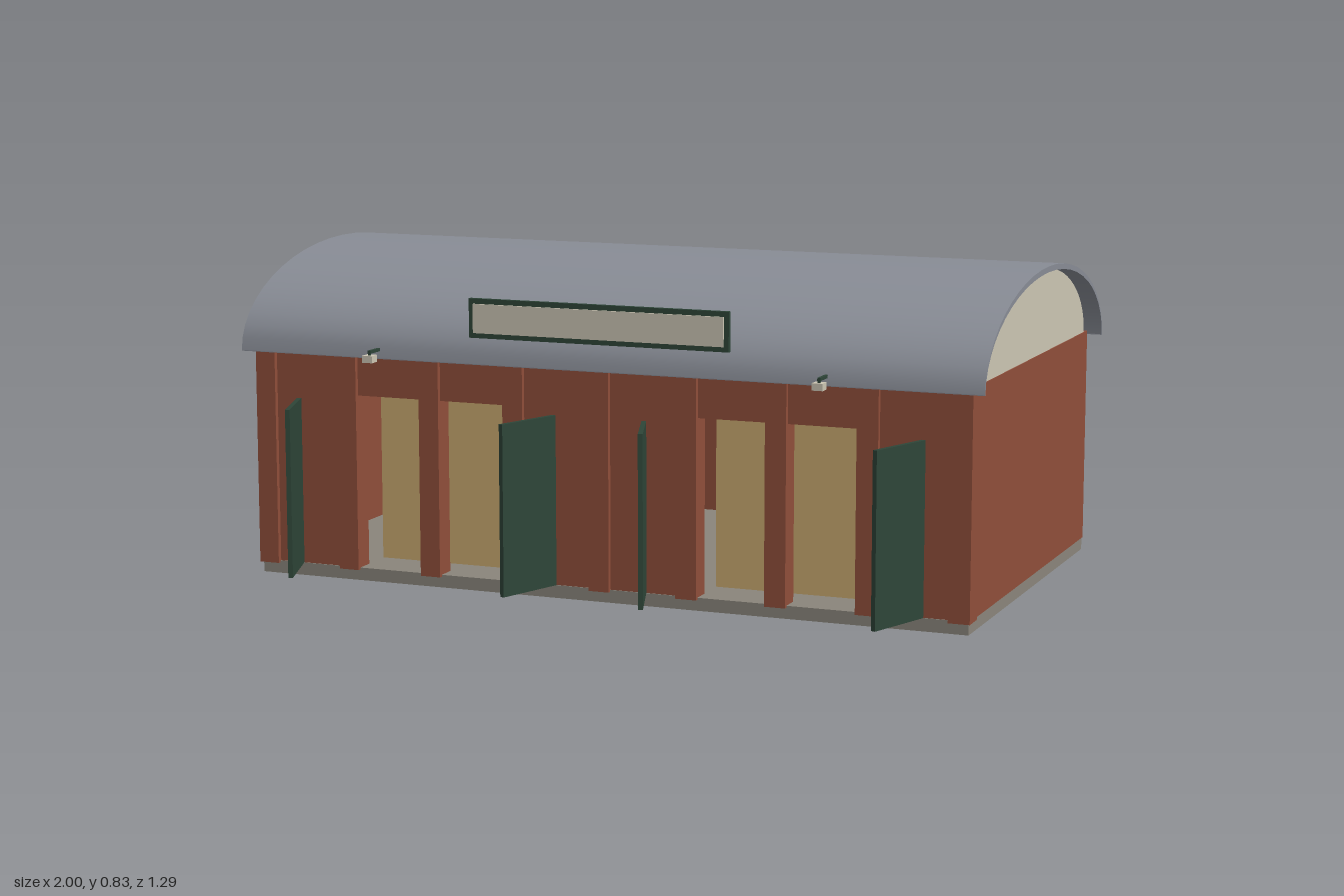
import * as THREE from 'three';

export function createModel() {
  const model = new THREE.Group();
  const mat = (name, color) => {
    const m = new THREE.MeshStandardMaterial({ color });
    m.name = name;
    return m;
  };
  const brick = mat('brick', 0x8f4e3a);
  const roofGrey = mat('roofGrey', 0x888c95);
  const cream = mat('cream', 0xcbc5b3);
  const tan = mat('tan', 0xc9a96f);
  const green = mat('darkGreen', 0x2e4538);
  const stone = mat('stone', 0x8a857b);

  const add = (name, geometry, material) => {
    const mesh = new THREE.Mesh(geometry, material);
    mesh.name = name;
    model.add(mesh);
    return mesh;
  };
  // Box given by its lowest and highest corner
  const box = (name, material, x0, x1, y0, y1, z0, z1) => {
    const g = new THREE.BoxGeometry(x1 - x0, y1 - y0, z1 - z0);
    g.translate((x0 + x1) / 2, (y0 + y1) / 2, (z0 + z1) / 2);
    return add(name, g, material);
  };

  // Floor slab
  box('floorSlab', stone, -0.962, 0.962, 0, 0.033, -0.62, 0.46);

  // Back and side walls
  box('backWall', brick, -0.965, 0.965, 0.033, 0.6, -0.62, -0.6);
  for (const s of [-1, 1]) {
    const x = s * 0.955;
    box('sideWall', brick, x - 0.01, x + 0.01, 0.033, 0.6, -0.6, 0.41);
  }

  // Front wall with two double openings, piers and cornice
  box('frontLintel', brick, -0.965, 0.965, 0.485, 0.6, 0.41, 0.457);
  for (const [a, b] of [[-0.965, -0.705], [-0.235, 0.235], [0.705, 0.965]]) {
    box('frontWall', brick, a, b, 0.033, 0.485, 0.41, 0.457);
  }
  for (let i = -4; i <= 4; i++) {
    const x = i * 0.235;
    box('pier', brick, x - 0.0275, x + 0.0275, 0.028, 0.6, 0.41, 0.47);
  }
  box('cornice', brick, -0.97, 0.97, 0.588, 0.612, 0.403, 0.474);

  for (const s of [-1, 1]) {
    // Panel standing behind each pair of openings
    const px = s * 0.47;
    box('innerPanel', tan, px - 0.21, px + 0.21, 0.033, 0.49, 0.31, 0.325);

    // Open doors: hinge point to free edge
    for (const [hx, fx] of [[0.845, 0.781], [0.122, 0.186]]) {
      const dx = s * (fx - hx), dz = 0.178;
      const door = add('openDoor', new THREE.BoxGeometry(0.012, 0.435, Math.hypot(dx, dz)), green);
      door.position.set(s * (hx + fx) / 2, 0.2525, 0.466 + dz / 2);
      door.rotation.y = Math.atan2(dx, dz);
    }

    // Lamp on a bracket
    const lx = s * 0.603;
    box('lampArm', green, lx - 0.004, lx + 0.004, 0.608, 0.616, 0.45, 0.535);
    box('lampStem', green, lx - 0.003, lx + 0.003, 0.603, 0.61, 0.529, 0.535);
    box('lamp', cream, lx - 0.014, lx + 0.014, 0.586, 0.604, 0.518, 0.547);
  }

  // Sign board
  box('signFrame', green, -0.35, 0.35, 0.655, 0.755, 0.463, 0.476);
  box('signPanel', cream, -0.337, 0.337, 0.668, 0.742, 0.474, 0.481);

  // Half-ellipse points over the building depth; shape x runs along -z
  const arc = (halfWidth, height, base, n) => {
    const pts = [];
    for (let i = 0; i <= n; i++) {
      const a = (i / n) * Math.PI;
      pts.push(new THREE.Vector2(0.08 + halfWidth * Math.cos(a), base + height * Math.sin(a)));
    }
    return pts;
  };

  // Gable ends
  for (const s of [-1, 1]) {
    const g = new THREE.ExtrudeGeometry(new THREE.Shape(arc(0.515, 0.222, 0.6, 32)),
      { depth: 0.02, bevelEnabled: false });
    g.rotateY(Math.PI / 2);
    g.translate(s * 0.952 - 0.01, 0, 0);
    add('gable', g, cream);
  }

  // Curved roof: smooth outer and inner skins, flat rims
  const N = 24;
  const outer = arc(0.565, 0.245, 0.59, N);
  const inner = arc(0.561, 0.23, 0.59, N);
  const skin = (name, pts, flip) => {
    const g = new THREE.PlaneGeometry(2, 1, 1, N);
    const p = g.attributes.position;
    for (let i = 0; i <= N; i++) {
      for (let k = 0; k < 2; k++) {
        p.setXYZ(i * 2 + k, flip ? 1 - 2 * k : 2 * k - 1, pts[N - i].y, -pts[N - i].x);
      }
    }
    // Rows run from front eave to back eave, so reverse them to face outward
    const idx = g.index.array;
    for (let t = 0; t < idx.length; t += 3) {
      [idx[t + 1], idx[t + 2]] = [idx[t + 2], idx[t + 1]];
    }
    g.computeVertexNormals();
    add(name, g, roofGrey);
  };
  skin('roofTop', outer, false);
  skin('roofUnderside', inner, true);
  const rimShape = new THREE.Shape([...outer, ...inner.slice().reverse()]);
  for (const s of [-1, 1]) {
    const rim = new THREE.ShapeGeometry(rimShape);
    rim.rotateY(Math.PI / 2);
    if (s < 0) rim.scale(-1, 1, 1);
    if (s < 0) {
      const idx = rim.index.array;
      for (let t = 0; t < idx.length; t += 3) {
        [idx[t + 1], idx[t + 2]] = [idx[t + 2], idx[t + 1]];
      }
      rim.computeVertexNormals();
    }
    rim.translate(s, 0, 0);
    add('roofRim', rim, roofGrey);
  }
  // Eave edges close the gap between the two skins
  box('frontEave', roofGrey, -1, 1, 0.588, 0.59, 0.481, 0.485);
  box('backEave', roofGrey, -1, 1, 0.588, 0.59, -0.645, -0.641);

  return model;
}
